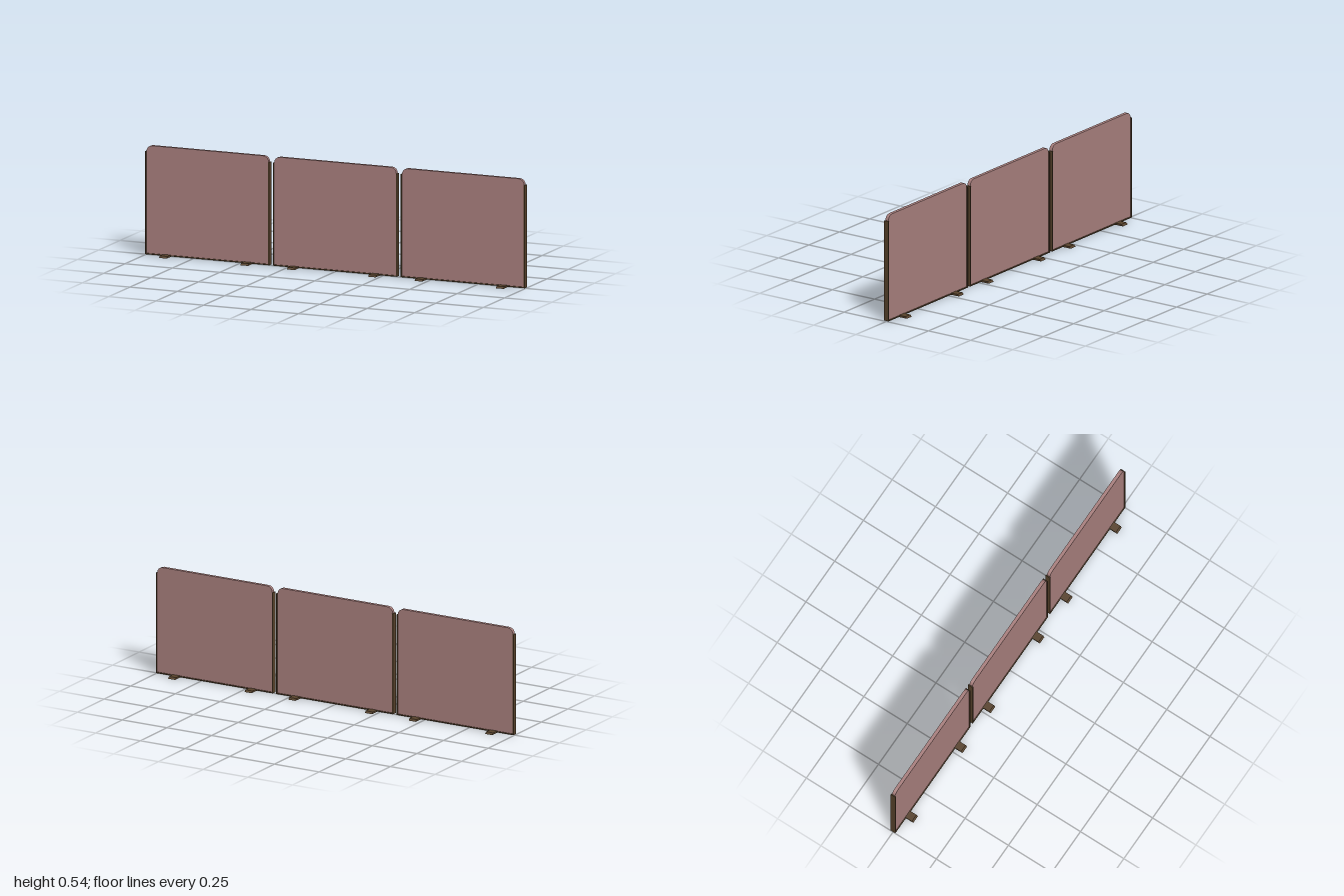
import * as THREE from 'three';

const PANEL_W = 0.654, PITCH = 0.673;
const FRAME_T = 0.005, FRAME_D = 0.027, FRAME_Y0 = 0.003, FRAME_TOP = 0.508;
const BOARD_D = 0.017, BOARD_TOP = 0.537;

export function createModel() {
  const boardMat = new THREE.MeshStandardMaterial({ color: 0xa87f7d });
  boardMat.name = 'dustyPinkBoard';
  const frameMat = new THREE.MeshStandardMaterial({ color: 0x57422b });
  frameMat.name = 'darkBrownFrame';

  // Board outline with two-segment rounded top corners
  const hw = PANEL_W / 2 - FRAME_T, r = BOARD_TOP - FRAME_TOP;
  const outline = new THREE.Shape();
  outline.moveTo(-hw, FRAME_Y0 + FRAME_T);
  outline.lineTo(hw, FRAME_Y0 + FRAME_T);
  outline.absarc(hw - r, FRAME_TOP, r, 0, Math.PI / 2);
  outline.absarc(-hw + r, FRAME_TOP, r, Math.PI / 2, Math.PI);
  outline.closePath();
  const boardGeo = new THREE.ExtrudeGeometry(outline, { depth: BOARD_D, bevelEnabled: false, curveSegments: 2 });
  boardGeo.translate(0, 0, -BOARD_D / 2);

  // Foot profile in (z, y): flat bar with sloped ends, extruded along x
  const footShape = new THREE.Shape([[-0.055, 0], [0.055, 0], [0.047, 0.009], [-0.047, 0.009]]
    .map(([z, y]) => new THREE.Vector2(z, y)));
  const footGeo = new THREE.ExtrudeGeometry(footShape, { depth: 0.04, bevelEnabled: false });
  footGeo.translate(0, 0, -0.02).rotateY(Math.PI / 2);

  const sideGeo = new THREE.BoxGeometry(FRAME_T, FRAME_TOP - FRAME_Y0, FRAME_D);
  const railGeo = new THREE.BoxGeometry(PANEL_W - 2 * FRAME_T, FRAME_T, FRAME_D);

  const add = (parent, name, geo, mat, x, y) => {
    const mesh = new THREE.Mesh(geo, mat);
    mesh.name = name;
    mesh.position.set(x, y, 0);
    parent.add(mesh);
  };

  const model = new THREE.Group();
  model.name = 'partitionScreens';
  for (const i of [-1, 0, 1]) {
    const screen = new THREE.Group();
    screen.name = ['rightScreen', 'middleScreen', 'leftScreen'][i + 1];
    screen.position.x = i * PITCH;
    add(screen, 'board', boardGeo, boardMat, 0, 0);
    add(screen, 'bottomRail', railGeo, frameMat, 0, FRAME_Y0 + FRAME_T / 2);
    for (const s of [-1, 1]) {
      const side = s < 0 ? 'right' : 'left';
      add(screen, side + 'Post', sideGeo, frameMat, s * (PANEL_W - FRAME_T) / 2, (FRAME_Y0 + FRAME_TOP) / 2);
      add(screen, side + 'Foot', footGeo, frameMat, s * 0.214, 0);
    }
    model.add(screen);
  }
  return model;
}
